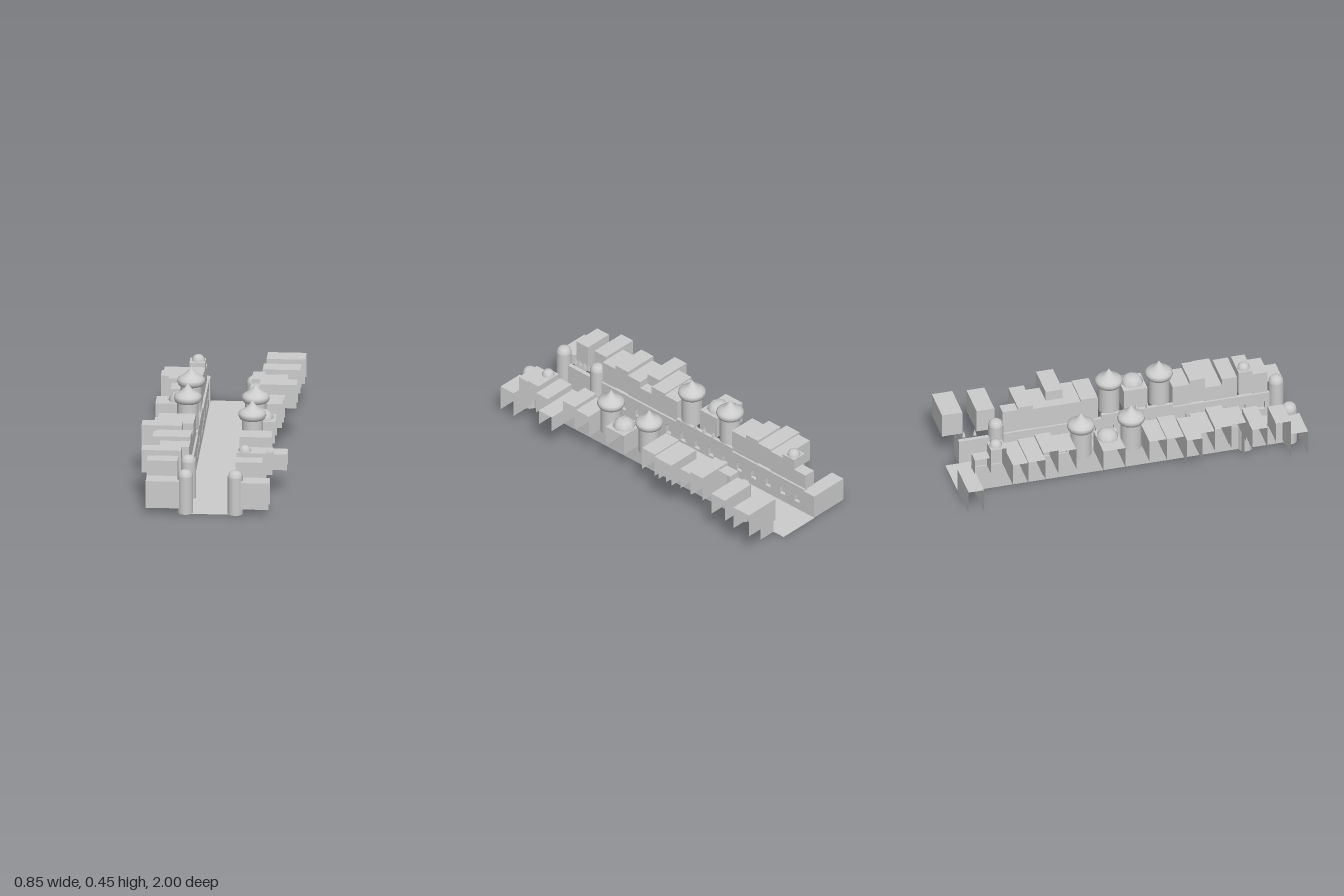
import * as THREE from 'three';

const mat = new THREE.MeshStandardMaterial({ color: 0xcccccc, side: THREE.DoubleSide });
const flat = new THREE.MeshStandardMaterial({ color: 0xcccccc, side: THREE.DoubleSide, flatShading: true });

export function createModel() {
  const root = new THREE.Group();

  const add = (name, geometry, x = 0, y = 0, z = 0, material = mat) => {
    const mesh = new THREE.Mesh(geometry, material);
    mesh.name = name;
    mesh.position.set(x, y, z);
    root.add(mesh);
    return mesh;
  };

  // Box shell that keeps only the listed faces (0 +x, 1 -x, 2 top, 3 bottom, 4 +z, 5 -z)
  const shell = (name, x0, x1, y0, y1, z0, z1, faces) => {
    const g = new THREE.BoxGeometry(Math.abs(x1 - x0), y1 - y0, z1 - z0);
    const index = Array.from(g.index.array);
    g.setIndex(faces.flatMap(f => index.slice(f * 6, f * 6 + 6)));
    g.clearGroups();
    return add(name, g, (x0 + x1) / 2, (y0 + y1) / 2, (z0 + z1) / 2);
  };

  // House: open underneath and at its far end; front rows also open to the street
  const house = (s, [z0, z1, xo, y0, y1, xi = 0.14, open = false]) => {
    const faces = open ? [2, 4, 5] : [2, 4, 5, s > 0 ? 1 : 0];
    shell('house', s * xi, s * xo, y0, y1, z0, z1, faces);
  };

  const lathe = (points, sides) =>
    new THREE.LatheGeometry(points.map(p => new THREE.Vector2(...p)), sides);

  // Street floor
  const floor = new THREE.PlaneGeometry(0.26, 1.98);
  floor.rotateX(-Math.PI / 2);
  add('streetFloor', floor, 0, 0.002, -0.01);

  // Houses: z start, z end, outer x, bottom, top, inner x, open to street
  const leftHouses = [
    [-1.0, -0.88, 0.42, 0.155, 0.3, 0.2],
    [-0.8, -0.695, 0.405, 0.16, 0.3, 0.19],
    [-0.66, -0.57, 0.21, 0.155, 0.3],
    [-0.57, -0.48, 0.345, 0.16, 0.315],
    [-0.48, -0.39, 0.335, 0.155, 0.29],
    [-0.39, -0.29, 0.41, 0.21, 0.35, 0.2],
    [-0.39, -0.29, 0.2, 0.155, 0.29],
    [-0.29, -0.2, 0.345, 0.155, 0.29],
    [-0.2, -0.1, 0.34, 0.155, 0.3],
    [0.06, 0.2, 0.32, 0.165, 0.295, 0.165],
    [0.34, 0.44, 0.31, 0.155, 0.29],
    [0.44, 0.53, 0.32, 0.165, 0.315],
    [0.53, 0.63, 0.415, 0.155, 0.25],
    [0.63, 0.72, 0.34, 0.155, 0.29],
    [0.73, 0.81, 0.31, 0.165, 0.315],
    [0.81, 0.9, 0.29, 0.155, 0.29],
    [0.9, 1.0, 0.335, 0.042, 0.2, 0.175, true],
  ];
  const rightHouses = [
    [-1.0, -0.91, 0.37, 0.005, 0.15, 0.125],
    [-0.92, -0.83, 0.21, 0.155, 0.25],
    [-0.83, -0.74, 0.23, 0.155, 0.315],
    [-0.74, -0.65, 0.37, 0.155, 0.29],
    [-0.65, -0.55, 0.38, 0.165, 0.3],
    [-0.55, -0.46, 0.33, 0.155, 0.315],
    [-0.46, -0.35, 0.31, 0.155, 0.29],
    [-0.21, -0.08, 0.38, 0.165, 0.295, 0.165],
    [0.07, 0.17, 0.35, 0.155, 0.29],
    [0.17, 0.27, 0.365, 0.155, 0.3],
    [0.27, 0.36, 0.43, 0.155, 0.315, 0.2],
    [0.27, 0.36, 0.2, 0.155, 0.25],
    [0.36, 0.455, 0.345, 0.155, 0.29],
    [0.455, 0.55, 0.355, 0.165, 0.315],
    [0.55, 0.65, 0.31, 0.155, 0.29],
    [0.66, 0.75, 0.405, 0.165, 0.3, 0.18],
    [0.81, 0.9, 0.365, 0.165, 0.29, 0.19],
    [0.9, 1.0, 0.365, 0.04, 0.2, 0.175, true],
  ];
  leftHouses.forEach(h => house(1, h));
  rightHouses.forEach(h => house(-1, h));

  // Street wall with a row of arched niches backed by a thin panel
  const wall = (s, z0, z1, height) => {
    const shape = new THREE.Shape();
    shape.moveTo(z0, 0).lineTo(z1, 0).lineTo(z1, height).lineTo(z0, height).closePath();
    const count = Math.floor((z1 - z0) / 0.1);
    for (let i = 0; i < count; i++) {
      const z = z0 + ((i + 0.5) * (z1 - z0)) / count;
      const hole = new THREE.Path();
      hole.moveTo(z - 0.02, 0.05).lineTo(z + 0.02, 0.05).lineTo(z + 0.02, 0.09);
      hole.absarc(z, 0.09, 0.02, 0, Math.PI, false);
      shape.holes.push(hole);
    }
    const g = new THREE.ExtrudeGeometry(shape, { depth: 0.02, bevelEnabled: false, curveSegments: 6 });
    g.rotateY(-Math.PI / 2);
    add('archedWall', g, s > 0 ? 0.148 : -0.128);
    const back = new THREE.PlaneGeometry(z1 - z0, height);
    back.rotateY(-Math.PI / 2);
    add('nicheBack', back, s * 0.15, height / 2, (z0 + z1) / 2);
  };
  [[-0.73, -0.08], [0.34, 0.92]].forEach(([a, b]) => wall(1, a, b, 0.158));
  [[-0.92, -0.36], [0.07, 0.66]].forEach(([a, b]) => wall(-1, a, b, 0.158));
  wall(1, -0.08, 0.34, 0.18);
  wall(-1, -0.36, 0.07, 0.18);

  // Low wall stretches and the panels that close their ends
  shell('lowWall', 0.13, 0.155, 0, 0.15, -0.92, -0.73, [0, 1, 2, 4, 5]);
  shell('lowWall', -0.155, -0.13, 0, 0.15, 0.66, 0.93, [0, 1, 2, 4, 5]);
  add('endPanel', new THREE.PlaneGeometry(0.105, 0.15), 0.1825, 0.075, -0.92);
  add('endPanel', new THREE.PlaneGeometry(0.105, 0.15), -0.1825, 0.075, 0.66);

  // Small pointed finials along the parapets
  const finial = (x, y, z) => {
    const g = new THREE.CylinderGeometry(0.002, 0.013, 0.035, 4);
    g.rotateY(Math.PI / 4);
    add('finial', g, x, y + 0.0175, z, flat);
  };
  [0.06, 0.125, 0.19].forEach(z => finial(0.135, 0.18, z));
  [-0.21, -0.14, -0.075].forEach(z => finial(-0.135, 0.18, z));
  [-0.88, -0.815].forEach(z => finial(0.175, 0.15, z));
  for (let i = 0; i < 5; i++) finial(-0.175, 0.15, 0.75 + i * 0.036);

  // Onion-domed gate towers
  const onion = [[0.06, 0.338], [0.072, 0.343], [0.08, 0.362], [0.077, 0.378], [0.062, 0.39],
    [0.04, 0.402], [0.024, 0.417], [0.011, 0.433], [0, 0.45]];
  for (const [x, z] of [[0.195, -0.02], [0.195, 0.275], [-0.19, -0.29], [-0.19, 0.005]]) {
    add('gateTower', new THREE.CylinderGeometry(0.06, 0.06, 0.17, 20, 1, true), x, 0.257, z);
    add('onionDome', lathe(onion, 20), x, 0, z);
  }

  // Round watch towers with domed caps
  const cap = [[0.043, 0.22], [0.04, 0.235], [0.03, 0.249], [0.018, 0.254], [0, 0.255]];
  for (const [x, z] of [[0.142, 0.95], [-0.142, 0.95], [-0.142, 0.69], [0.142, -0.7]]) {
    add('watchTower', new THREE.CylinderGeometry(0.044, 0.044, 0.222, 14, 1, true), x, 0.111, z);
    add('watchTowerCap', lathe(cap, 10), x, 0, z);
  }

  // Roof domes: large ones behind the gates, small ones on houses
  const dome = (x, y, z, r, h) => {
    const profile = [[r, 0], [r * 0.95, h * 0.4], [r * 0.7, h * 0.8], [r * 0.4, h * 0.97], [0, h]];
    add('roofDome', lathe(profile, 8), x, y, z);
  };
  dome(0.243, 0.293, 0.13, 0.065, 0.05);
  dome(-0.245, 0.293, -0.15, 0.065, 0.05);
  dome(0.185, 0.313, 0.77, 0.037, 0.035);
  dome(-0.182, 0.313, -0.79, 0.038, 0.035);

  return root;
}
